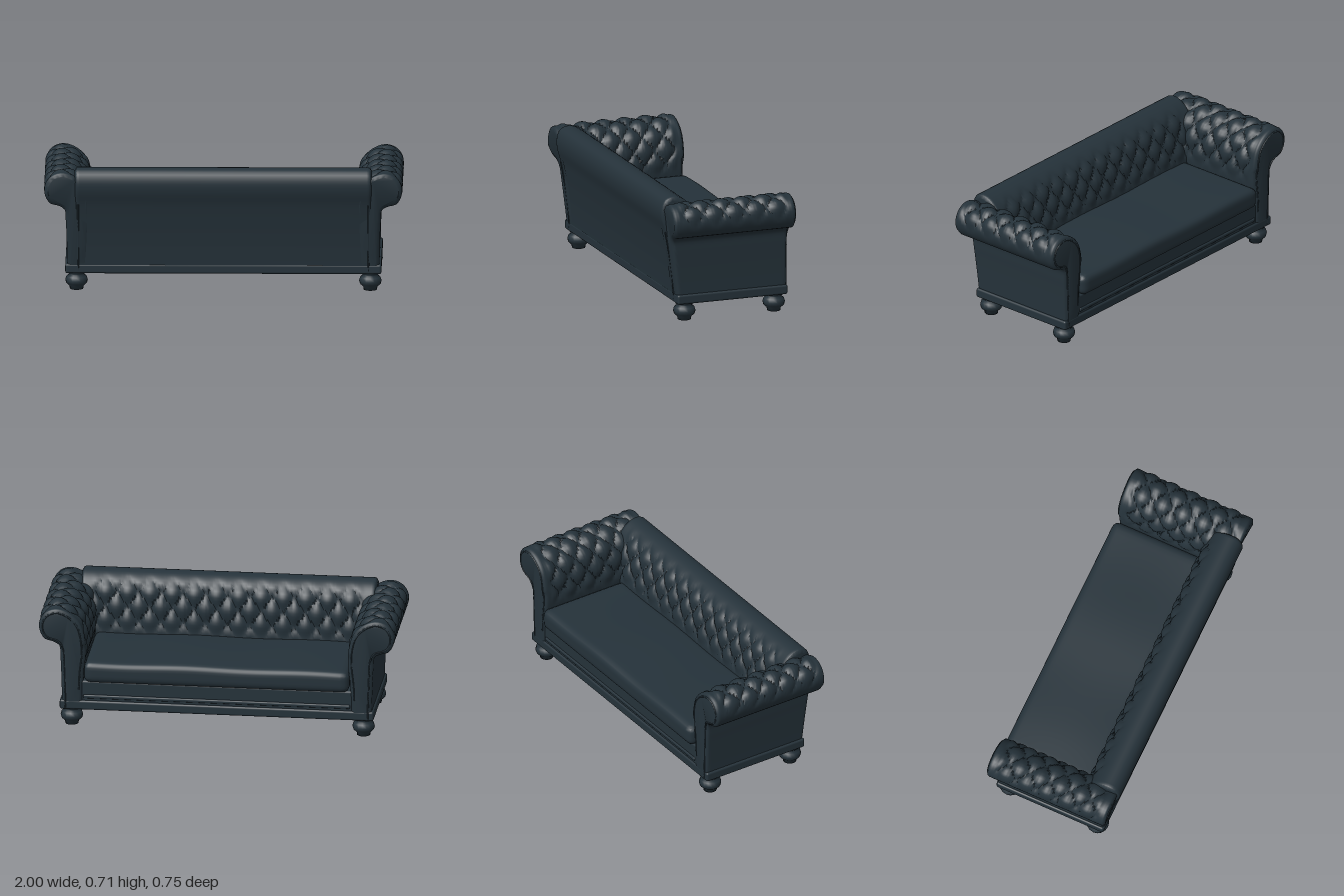
import * as THREE from 'three';
import { toCreasedNormals } from 'three/addons/utils/BufferGeometryUtils.js';
import { RoundedBoxGeometry } from 'three/addons/geometries/RoundedBoxGeometry.js';

const SAMPLES = 76;

function sampleProfile(points) {
  const curve = new THREE.CatmullRomCurve3(points.map(([a, y]) => new THREE.Vector3(a, y, 0)), false, 'centripetal');
  return { pts: curve.getSpacedPoints(SAMPLES - 1), length: curve.getLength() };
}

// Outward normal of a profile that runs up the inside and down the outside
function profileNormal(pts, i) {
  const p = pts[Math.max(i - 1, 0)], q = pts[Math.min(i + 1, pts.length - 1)];
  const l = Math.hypot(q.x - p.x, q.y - p.y);
  return [-(q.y - p.y) / l, (q.x - p.x) / l];
}

// Diamond pillows: 0 along the folds, 1 in the middle of each pillow
function pillow(s, t) {
  const a = s / 0.17 + t / 0.125, b = s / 0.17 - t / 0.125;
  return Math.sqrt(Math.abs(Math.sin(Math.PI * a) * Math.sin(Math.PI * b)));
}

// Sweeps a profile along its third axis, with button tufting and rounded ends
function upholstery({ profile, ends, rings, tuft, depth, margin, round, mirror = false }) {
  const { pts, length } = sampleProfile(profile);
  const pos = [], index = [];
  const step = THREE.MathUtils.smoothstep;
  for (let j = 0; j <= rings; j++) {
    for (let i = 0; i < SAMPLES; i++) {
      const [n0, n1] = profileNormal(pts, i);
      const [t0, t1] = ends(pts[i].y);
      const t = t0 + (t1 - t0) * j / rings;
      const u = i / (SAMPLES - 1);
      const edge = Math.max(0, Math.min(t - t0, t1 - t));
      const w = step(u, tuft[0], tuft[0] + 0.06) * (1 - step(u, tuft[1] - 0.1, tuft[1])) * step(edge, margin, margin + 0.04);
      let d = depth * w * (pillow(u * length, t) - 0.6);
      if (edge < round) d -= round - Math.sqrt(edge * (2 * round - edge));
      pos.push((pts[i].x + n0 * d) * (mirror ? -1 : 1), pts[i].y + n1 * d, t);
    }
  }
  const tri = (a, b, c) => (mirror ? index.push(a, c, b) : index.push(a, b, c));
  for (let j = 0; j < rings; j++) {
    for (let i = 0; i < SAMPLES; i++) {
      const k = (i + 1) % SAMPLES, a = j * SAMPLES, b = a + SAMPLES;
      tri(a + i, b + i, a + k);
      tri(a + k, b + i, b + k);
    }
  }
  // End caps
  const flat = pts.map(p => new THREE.Vector2(p.x, p.y));
  const last = rings * SAMPLES;
  for (const [a, b, c] of THREE.ShapeUtils.triangulateShape(flat, [])) {
    const ccw = THREE.ShapeUtils.area([flat[a], flat[b], flat[c]]) > 0;
    const [p, q] = ccw ? [b, c] : [c, b];
    tri(last + a, last + p, last + q);
    tri(a, q, p);
  }
  const g = new THREE.BufferGeometry();
  g.setAttribute('position', new THREE.Float32BufferAttribute(pos, 3));
  g.setIndex(index);
  return toCreasedNormals(g, 0.75);
}

export function createModel() {
  const leather = new THREE.MeshStandardMaterial({ color: 0x25323a });
  leather.name = 'dark leather';
  const group = new THREE.Group();
  const add = (name, geometry, x = 0, y = 0, z = 0) => {
    const m = new THREE.Mesh(geometry, leather);
    m.name = name;
    m.position.set(x, y, z);
    group.add(m);
    return m;
  };

  // Rolled backrest, on the +z side
  const backProfile = [[0.15, 0.11], [0.148, 0.35], [0.155, 0.45], [0.17, 0.55], [0.198, 0.64], [0.25, 0.695],
    [0.31, 0.712], [0.355, 0.695], [0.376, 0.65], [0.376, 0.59], [0.354, 0.51], [0.342, 0.45], [0.325, 0.35],
    [0.312, 0.25], [0.3, 0.11]];
  const back = add('backrest', upholstery({
    profile: backProfile, ends: () => [-0.83, 0.83], rings: 180,
    tuft: [0.2, 0.47], depth: 0.026, margin: 0.06, round: 0.02,
  }));
  back.rotation.y = -Math.PI / 2;

  // Scroll arms, leaning back with the backrest
  const armProfile = [[0.755, 0.11], [0.75, 0.3], [0.738, 0.42], [0.742, 0.52], [0.77, 0.61], [0.83, 0.668],
    [0.9, 0.69], [0.96, 0.67], [0.995, 0.62], [0.995, 0.56], [0.965, 0.51], [0.92, 0.497], [0.887, 0.475],
    [0.879, 0.4], [0.873, 0.25], [0.87, 0.11]];
  const armEnds = y => [
    y < 0.48 ? -0.352 : -0.361,
    y < 0.45 ? 0.297 + 0.12 * (y - 0.1) : Math.min(0.366, 0.339 + 0.25 * (y - 0.45)),
  ];
  const { pts: armPts } = sampleProfile(armProfile);
  for (const side of [1, -1]) {
    const label = side > 0 ? 'left' : 'right';
    add(label + 'Arm', upholstery({
      profile: armProfile, ends: armEnds, rings: 90, tuft: [0.2, 0.64],
      depth: 0.026, margin: 0.03, round: 0.02, mirror: side < 0,
    }));
    // Piping around the scroll face
    const path = [];
    for (let i = 6; i < SAMPLES; i += 3) {
      const [n0, n1] = profileNormal(armPts, i);
      path.push(new THREE.Vector3(side * (armPts[i].x - 0.02 * n0), armPts[i].y - 0.02 * n1, armEnds(armPts[i].y)[0] + 0.002));
    }
    add(label + 'ArmPiping', new THREE.TubeGeometry(new THREE.CatmullRomCurve3(path), 70, 0.005, 6));
    // Piping down the edge of the outside back
    const edge = backProfile.slice(10).map(([z, y]) => new THREE.Vector3(side * 0.81, y, z));
    add(label + 'BackPiping', new THREE.TubeGeometry(new THREE.CatmullRomCurve3(edge), 20, 0.005, 6));
  }

  // Seat frame and the moulding round its foot
  add('seatFrame', new RoundedBoxGeometry(1.72, 0.17, 0.64, 2, 0.012), 0, 0.185, -0.024);
  add('baseMoulding', new RoundedBoxGeometry(1.765, 0.055, 0.658, 3, 0.012), 0, 0.127, -0.024);
  add('frontRailBead', new RoundedBoxGeometry(1.5, 0.022, 0.02, 2, 0.008), 0, 0.178, -0.342);

  // Long seat cushion, softly domed
  const cushion = new THREE.BoxGeometry(1.49, 0.12, 0.55, 60, 8, 28);
  const p = cushion.attributes.position;
  const r = 0.035;
  const inner = new THREE.Vector3(0.745 - r, 0.06 - r, 0.275 - r);
  for (let i = 0; i < p.count; i++) {
    const v = new THREE.Vector3().fromBufferAttribute(p, i);
    const core = v.clone().clamp(inner.clone().negate(), inner);
    const d = v.clone().sub(core);
    if (d.length() > r) v.copy(core).addScaledVector(d.normalize(), r);
    if (v.y > 0) v.y += 0.012 * Math.cos(v.x * 2.1) * Math.cos(v.z * 5.5) + 0.003 * Math.sin(v.x * 9);
    p.setXYZ(i, v.x, v.y, v.z);
  }
  add('seatCushion', toCreasedNormals(cushion, 0.9), 0, 0.325, -0.1);

  // Turned bun feet
  const footProfile = [[0, 0], [0.037, 0], [0.04, 0.018], [0.058, 0.034], [0.063, 0.052], [0.057, 0.072],
    [0.042, 0.083], [0.05, 0.092], [0.052, 0.108], [0, 0.108]].map(([a, b]) => new THREE.Vector2(a, b));
  for (const x of [-0.82, 0.82]) {
    for (const z of [-0.291, 0.244]) add('foot', new THREE.LatheGeometry(footProfile, 16), x, 0, z);
  }
  return group;
}
